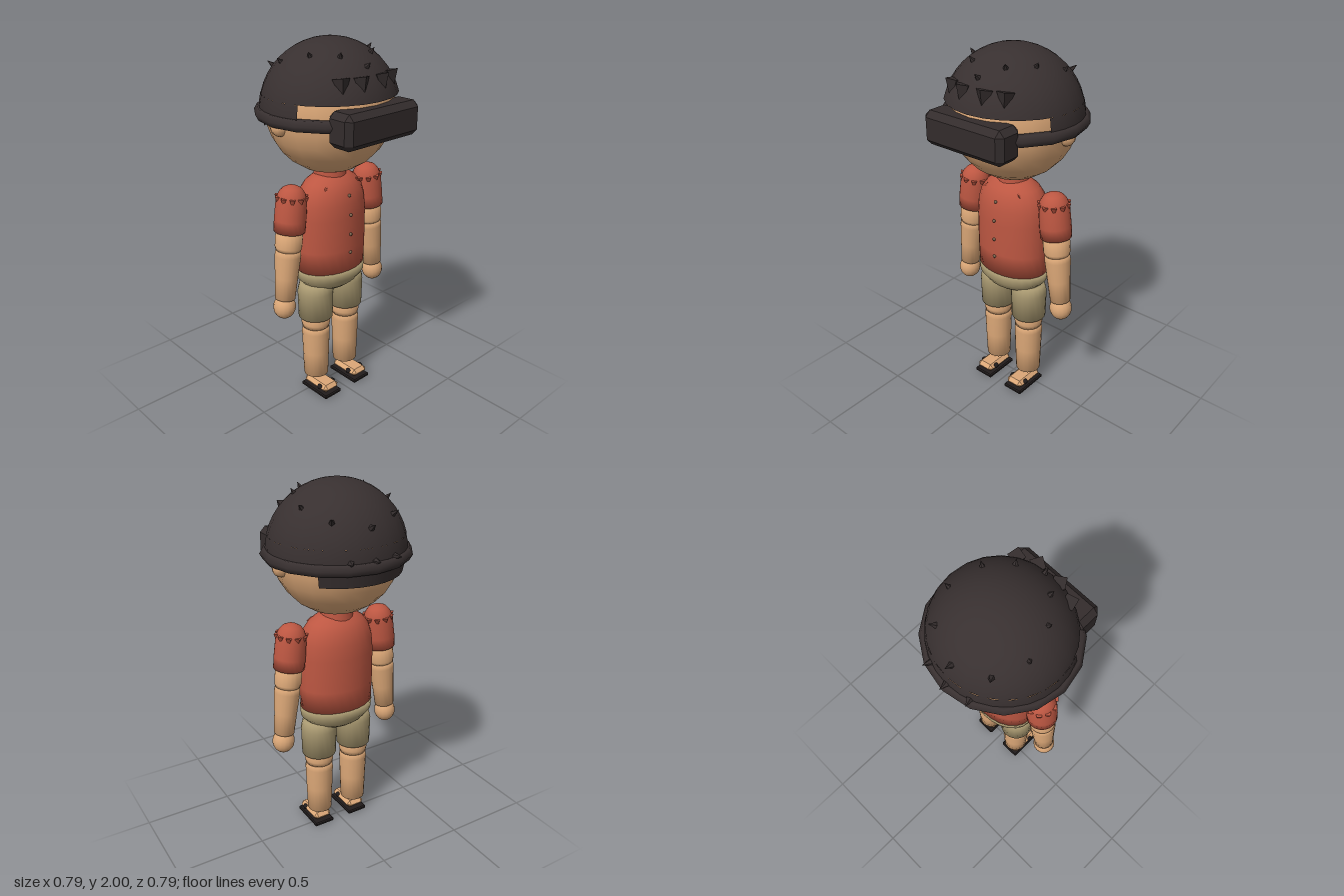
import * as THREE from 'three';
import { ConvexGeometry } from 'three/addons/geometries/ConvexGeometry.js';

const mat = (name, color, extra = {}) => {
  const m = new THREE.MeshStandardMaterial({ color, ...extra });
  m.name = name;
  return m;
};

export function createModel() {
  const skin = mat('skin', 0xdba777);
  const shirt = mat('shirtRed', 0xbd5742);
  const cloth = mat('shortsTan', 0xa89870);
  const shell = mat('helmetDark', 0x383030, { side: THREE.DoubleSide });
  const metal = mat('spikeDark', 0x332c2c, { flatShading: true });
  const black = mat('sandalBlack', 0x211c1c);
  const brass = mat('buttonBrown', 0x7d6650);

  const model = new THREE.Group();
  model.name = 'helmetedFigure';

  const add = (parent, name, geo, material, x = 0, y = 0, z = 0) => {
    const m = new THREE.Mesh(geo, material);
    m.name = name;
    m.position.set(x, y, z);
    parent.add(m);
    return m;
  };
  // Lathe from [radius, height] pairs listed bottom to top
  const lathe = (pts, n = 24) =>
    new THREE.LatheGeometry(pts.map(([r, y]) => new THREE.Vector2(r, y)), n);
  const ball = (r, w = 16, h = 12) => new THREE.SphereGeometry(r, w, h);
  // Box with every edge chamfered by c
  const chamferBox = (w, h, d, c) => {
    const pts = [];
    for (const sx of [-1, 1]) for (const sy of [-1, 1]) for (const sz of [-1, 1]) {
      for (let full = 0; full < 3; full++) {
        const inset = [c, c, c];
        inset[full] = 0;
        pts.push(new THREE.Vector3(
          sx * (w / 2 - inset[0]), sy * (h / 2 - inset[1]), sz * (d / 2 - inset[2])));
      }
    }
    return new ConvexGeometry(pts);
  };
  const up = new THREE.Vector3(0, 1, 0);
  const spike = (parent, name, pos, dir, r, h, sides, material) => {
    const m = add(parent, name, new THREE.ConeGeometry(r, h, sides), material, ...pos);
    m.quaternion.setFromUnitVectors(up, dir.clone().normalize());
    return m;
  };

  // Head and ears
  const head = new THREE.Group();
  head.name = 'head';
  model.add(head);
  add(head, 'face', ball(0.342, 20, 14), skin, 0, 1.652, 0).scale.set(0.985, 1, 0.97);
  for (const s of [-1, 1]) add(head, 'ear', ball(0.045, 10, 8), skin, s * 0.323, 1.597, -0.008);

  // Helmet: full dome above the brow, lower band open at the front
  const helmet = new THREE.Group();
  helmet.name = 'helmet';
  helmet.position.y = 1.64;
  model.add(helmet);
  const brow = Math.acos(0.09 / 0.36);
  const open = 0.4;
  const dome = add(helmet, 'helmetDome',
    new THREE.SphereGeometry(0.36, 24, 10, 0, Math.PI * 2, 0, brow), shell);
  const band = add(helmet, 'helmetLowerBand',
    new THREE.SphereGeometry(0.36, 18, 2, Math.PI - open, Math.PI + 2 * open, brow, Math.PI / 2 - brow), shell);
  for (const m of [dome, band]) m.scale.set(1.015, 1, 0.98);
  const brim = add(helmet, 'helmetBrim', new THREE.TorusGeometry(0.361, 0.032, 6, 16), shell, 0, -0.003, 0);
  brim.rotation.x = Math.PI / 2;
  brim.scale.y = 0.97;
  add(helmet, 'neckGuard',
    new THREE.CylinderGeometry(0.352, 0.337, 0.07, 8, 1, true, Math.PI - 0.8, 1.6), shell, 0, -0.06, 0);

  // Small spikes at mirrored x, z spots on the dome
  const spots = [[0, 0.265], [0.105, 0.185], [0.2, 0.075], [0.247, -0.085], [0.175, -0.242], [0, -0.318]];
  for (const [x, z] of spots) {
    const big = z < -0.2;
    for (const s of x ? [-1, 1] : [1]) {
      const dir = new THREE.Vector3(s * x, Math.sqrt(0.134 - x * x - z * z), z);
      spike(helmet, 'domeSpike', dir.toArray(), dir, big ? 0.023 : 0.02, big ? 0.06 : 0.045, 5, metal);
    }
  }
  // Rear brim spikes
  for (const a of [-0.36, 0, 0.36]) {
    const dir = new THREE.Vector3(Math.sin(a), 0.08, -Math.cos(a));
    spike(helmet, 'brimSpike', dir.clone().multiplyScalar(0.367).toArray(), dir, 0.022, 0.055, 5, metal);
  }
  // Four downward teeth above the goggles
  for (const x of [-0.165, -0.067, 0.067, 0.165]) {
    const z = Math.sqrt(0.112 - x * x);
    spike(helmet, 'browTooth', [x, 0.155, z - 0.03],
      new THREE.Vector3(x * 0.35, -1, 0.2), 0.043, 0.11, 4, metal);
  }
  // Goggles
  add(helmet, 'goggles', chamferBox(0.5, 0.175, 0.157, 0.03), metal, 0, -0.016, 0.317);

  // Torso with collar and buttons
  const torso = new THREE.Group();
  torso.name = 'torso';
  model.add(torso);
  add(torso, 'shirtBody', lathe([[0, 0.77], [0.21, 0.77], [0.214, 0.9], [0.214, 1.08],
    [0.207, 1.16], [0.188, 1.22], [0.155, 1.265], [0.11, 1.295], [0.08, 1.305], [0, 1.307]]),
  shirt, 0, 0, 0.006).scale.z = 0.725;
  add(torso, 'collar', new THREE.CylinderGeometry(0.085, 0.09, 0.05, 20), shirt, 0, 1.297, 0);
  for (const y of [0.885, 0.99, 1.1, 1.205]) {
    add(torso, 'button', ball(0.009, 8, 6), brass, 0, y, y > 1.15 ? 0.149 : 0.163);
  }
  for (const s of [-1, 1]) {
    spike(torso, 'collarPoint', [s * 0.115, 1.25, 0.093], new THREE.Vector3(s, -0.6, 0.6), 0.012, 0.035, 4, shirt);
  }

  // Hips of the shorts
  add(model, 'shortsHips', lathe([[0, 0.65], [0.125, 0.652], [0.165, 0.675], [0.21, 0.72], [0.215, 0.775], [0, 0.778]]),
    cloth, 0, 0, 0.006).scale.z = 0.72;

  for (const s of [-1, 1]) {
    // Arm, hanging slightly outward
    const arm = new THREE.Group();
    arm.name = s > 0 ? 'leftArm' : 'rightArm';
    arm.position.set(s * 0.272, 1.21, 0.006);
    arm.rotation.z = s * 0.108;
    model.add(arm);
    add(arm, 'sleeve', lathe([[0, -0.165], [0.083, -0.165], [0.084, -0.1], [0.081, 0], [0.07, 0.04],
      [0.05, 0.066], [0.025, 0.078], [0, 0.081]], 20), shirt);
    for (let i = 0; i < 10; i++) {
      const a = (i / 10) * Math.PI * 2;
      spike(arm, 'sleeveFringe', [Math.sin(a) * 0.074, 0.003, Math.cos(a) * 0.074],
        new THREE.Vector3(0, -1, 0), 0.02, 0.042, 4, shirt);
    }
    add(arm, 'upperArm', lathe([[0, -0.27], [0.066, -0.27], [0.072, -0.25], [0.072, -0.15], [0, -0.15]], 20), skin);
    add(arm, 'forearm', lathe([[0, -0.545], [0.055, -0.545], [0.062, -0.42], [0.07, -0.3],
      [0.066, -0.262], [0, -0.26]], 20), skin);
    add(arm, 'hand', ball(0.061), skin, 0, -0.595, 0).scale.y = 1.12;

    // Leg
    const leg = new THREE.Group();
    leg.name = s > 0 ? 'leftLeg' : 'rightLeg';
    leg.position.set(s * 0.114, 0, 0.006);
    model.add(leg);
    add(leg, 'shortsLeg', lathe([[0, 0.48], [0.096, 0.48], [0.1, 0.64], [0.088, 0.69], [0, 0.71]], 20), cloth);
    add(leg, 'knee', lathe([[0, 0.415], [0.076, 0.415], [0.081, 0.44], [0.08, 0.5], [0, 0.5]], 20), skin);
    add(leg, 'shin', lathe([[0, 0.1], [0.07, 0.1], [0.075, 0.25], [0.079, 0.38], [0.075, 0.42], [0, 0.42]], 20), skin);

    // Foot and sandal
    add(leg, 'foot', chamferBox(0.11, 0.044, 0.19, 0.02), skin, 0, 0.05, 0.046);
    add(leg, 'sandalSole', chamferBox(0.122, 0.022, 0.212, 0.006), black, 0, 0.011, 0.044);
    for (const e of [-1, 1]) {
      add(leg, 'sandalStrap', ball(0.02, 10, 6), black, e * 0.044, 0.052, 0.085).scale.set(0.9, 0.75, 1);
    }
  }
  return model;
}
